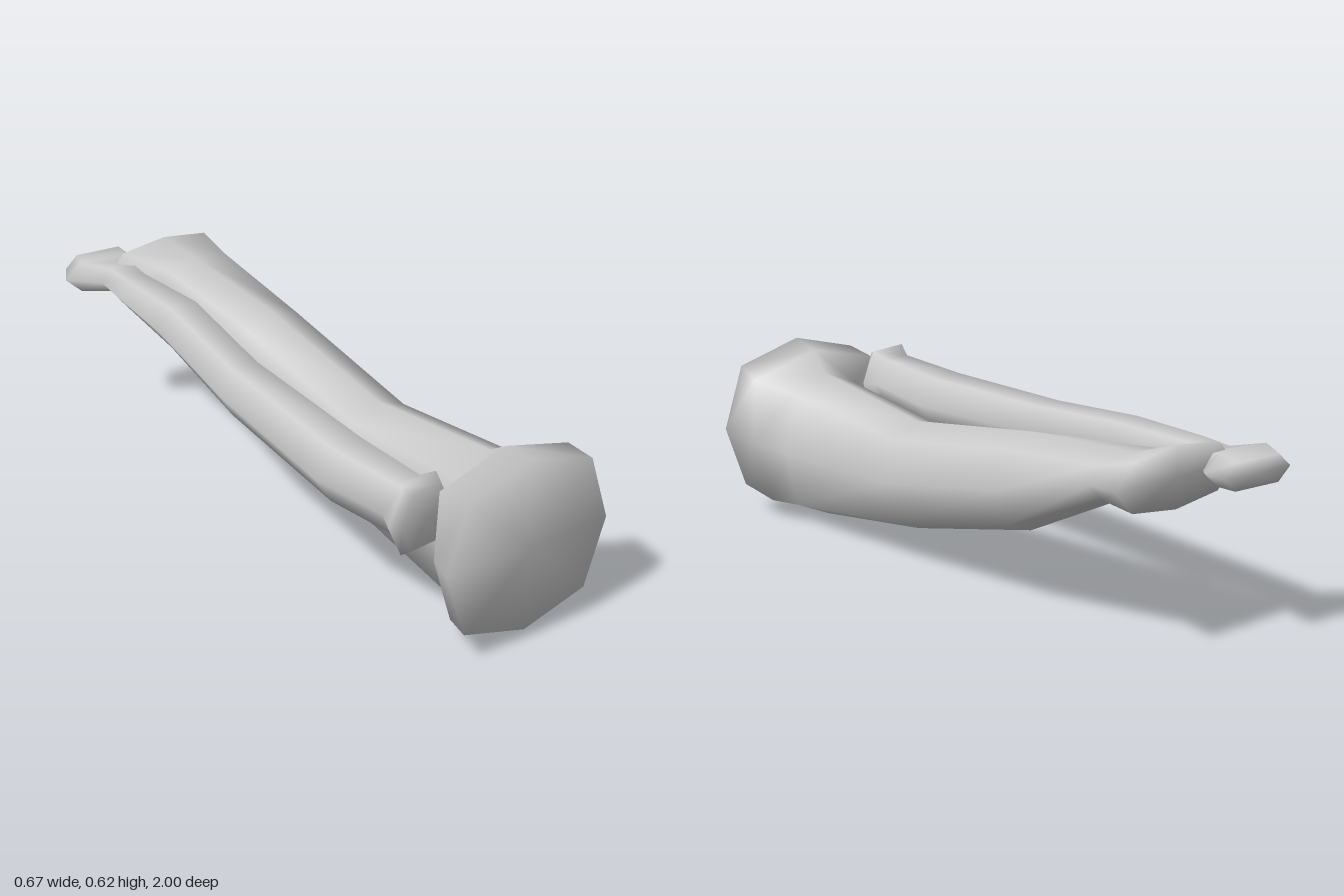
import * as THREE from 'three';

// Unit sections, listed from the top towards +x; u and l set the width of the upper and lower corners
const octagon = (u, l) => [[0, 1], [u, 0.77], [1, 0], [l, -0.77], [0, -1], [-l, -0.77], [-1, 0], [-u, 0.77]];
const hexagon = (u, l) => [[u, 1], [1, 0], [l, -1], [-l, -1], [-1, 0], [-u, 1]];

// Smooth closed loft, front to back. Ring: z, left x, right x, bottom y, top y, [u, l, tilt]
function loft(name, section, rings, frontZ, backZ) {
  const pos = [], index = [];
  const n = section(1, 1).length;
  const centre = [];
  for (const [z, x0, x1, y0, y1, u = 0.74, l = 0.74, tilt = 0] of rings) {
    const cx = (x0 + x1) / 2, cy = (y0 + y1) / 2;
    centre.push([cx, cy]);
    for (const [sx, sy] of section(u, l)) {
      const dx = sx * (x1 - x0) / 2;
      pos.push(cx + dx, cy + sy * (y1 - y0) / 2, z + tilt * dx);
    }
  }
  const last = rings.length - 1;
  const front = pos.length / 3, back = front + 1;
  pos.push(...centre[0], frontZ, ...centre[last], backZ);
  for (let k = 0; k < n; k++) {
    const m = (k + 1) % n;
    for (let i = 0; i < last; i++) {
      const a = i * n + k, b = i * n + m;
      index.push(a, b, a + n, b, b + n, a + n);
    }
    index.push(front, m, k, back, last * n + k, last * n + m);
  }
  const geo = new THREE.BufferGeometry();
  geo.setAttribute('position', new THREE.Float32BufferAttribute(pos, 3));
  geo.setIndex(index);
  geo.computeVertexNormals();
  const mesh = new THREE.Mesh(geo, new THREE.MeshStandardMaterial({ color: 0xcccccc }));
  mesh.name = name;
  return mesh;
}

export function createModel() {
  const group = new THREE.Group();
  group.name = 'lowerLegBones';

  // Thick bone: broad plateau in front, tapering shaft, flared rear end
  group.add(loft('shinBone', octagon, [
    [0.985, -0.247, 0.331, 0.03, 0.56, 0.76, 0.76, 0.03],
    [0.86, -0.19, 0.312, 0.0, 0.545, 0.95, 0.73],
    [0.77, -0.08, 0.25, 0.005, 0.49],
    [0.26, -0.03, 0.245, 0.09, 0.44],
    [-0.3, -0.005, 0.275, 0.235, 0.535],
    [-0.73, -0.01, 0.31, 0.45, 0.575],
    [-0.858, -0.11, 0.335, 0.435, 0.617, 0.72, 0.72, 0.02],
  ], 1.0, -0.86));

  // Thin bone: slender bowed shaft with a knob at each end
  group.add(loft('calfBone', hexagon, [
    [0.855, -0.31, -0.13, 0.33, 0.5, 0.55, 0.55, -0.08],
    [0.82, -0.335, -0.095, 0.309, 0.515, 0.56, 0.56, -0.14],
    [0.77, -0.3, -0.125, 0.335, 0.492, 0.5, 0.5],
    [0.49, -0.305, -0.09, 0.32, 0.486, 0.5, 0.5],
    [-0.05, -0.245, -0.06, 0.365, 0.515, 0.5, 0.5],
    [-0.45, -0.19, 0.0, 0.43, 0.562, 0.5, 0.5],
    [-0.73, -0.165, -0.012, 0.475, 0.566, 0.5, 0.5],
    [-0.845, -0.15, 0.01, 0.487, 0.565, 0.55, 0.55, -0.15],
    [-0.905, -0.235, 0.04, 0.48, 0.578, 0.6, 0.6, 0.1],
    [-0.985, -0.185, 0.05, 0.492, 0.572, 0.65, 0.65, 0.11],
  ], 0.86, -0.992));

  return group;
}
